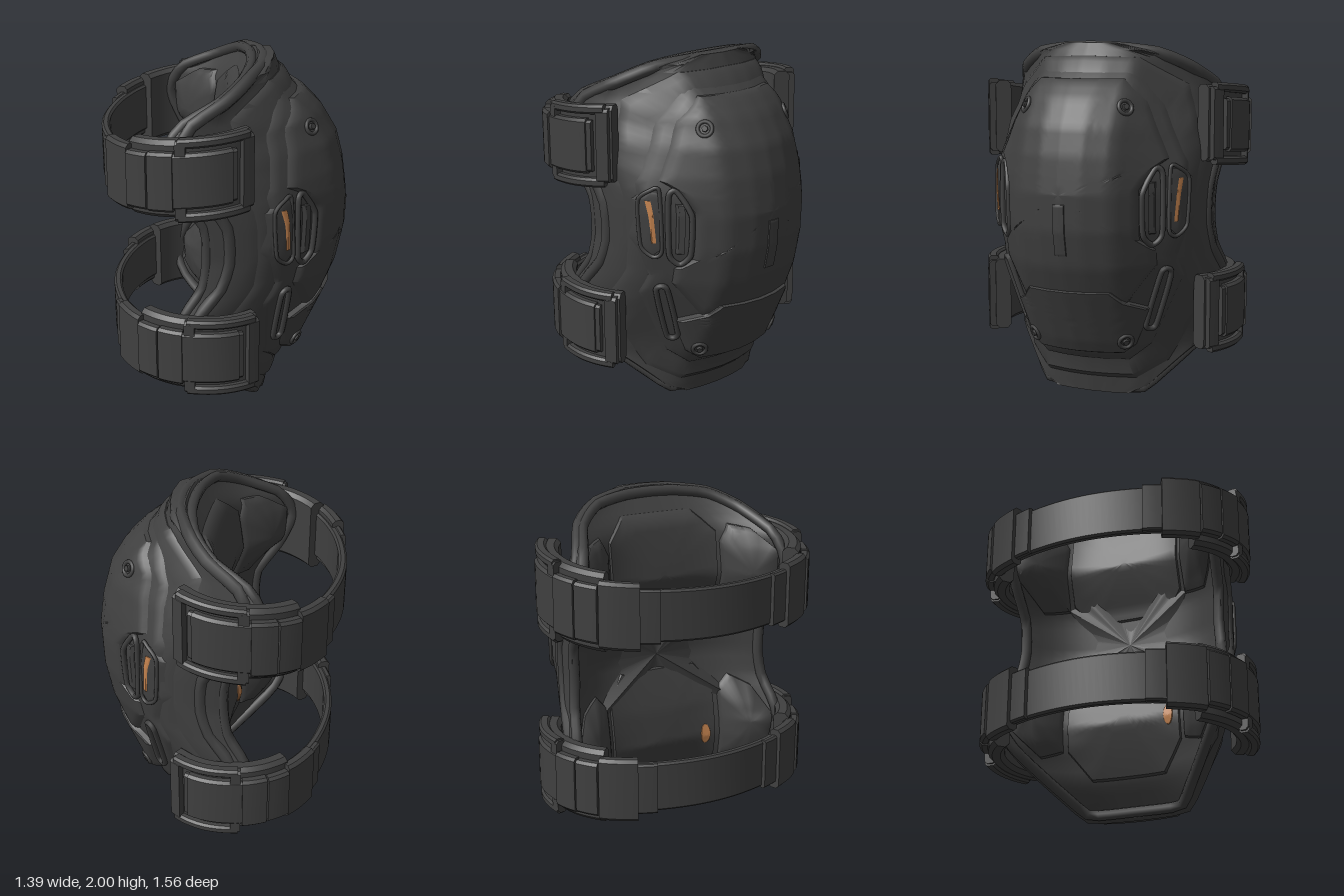
import * as THREE from 'three';
import { toCreasedNormals } from 'three/addons/utils/BufferGeometryUtils.js';

// Piecewise-linear lookup in [[key, value], ...]
const look = (table, k) => {
  for (let i = 1; i < table.length; i++) {
    const [a, va] = table[i - 1], [b, vb] = table[i];
    if (k <= b) return va + (vb - va) * Math.max(0, (k - a) / (b - a));
  }
  return table[table.length - 1][1];
};

// Profiles by height: front, half width, rear edge of the sides, inner middle
const FRONT = [[0, .24], [.1, .3], [.2, .36], [.36, .45], [.65, .58], [.8, .64], [1, .68], [1.2, .687], [1.4, .66], [1.55, .62], [1.7, .53], [1.8, .43], [1.9, .34], [2, .26]];
const WIDTH = [[0, .2], [.05, .32], [.2, .47], [.3, .58], [.5, .68], [.65, .68], [.8, .64], [1, .62], [1.3, .63], [1.45, .65], [1.65, .65], [1.8, .59], [1.87, .5], [1.92, .41], [1.96, .28], [2, .1]];
const REAR = [[0, .17], [.1, .03], [.28, -.2], [.4, -.31], [.6, -.33], [.72, -.25], [.85, -.17], [1, -.15], [1.2, -.16], [1.32, -.21], [1.45, -.34], [1.65, -.36], [1.74, -.29], [1.8, -.15], [1.87, -.02], [1.95, .1], [2, .18]];
const INNER = [[0, .18], [.2, .05], [.5, -.03], [.7, 0], [1, .08], [1.25, .06], [1.5, -.02], [1.8, .03], [2, .18]];
const DROP = [[0, 0], [.12, .013], [.25, .055], [.29, .08], [.45, .25], [.55, .35], [.6, .45], [.66, .6], [.75, .8]];
const DROP_SCALE = [[0, .6], [.36, 1.05], [.9, 1], [1.3, 1], [1.65, 1.3], [2, 1]];
const SOFT = [[0, 0], [.25, -.1], [1.75, -.1], [2, 0]];

const outer = (y, z) => look(FRONT, y) - look(DROP, Math.abs(z)) * look(DROP_SCALE, y);
const soft = (y, z) => Math.max(outer(y, z) + look(SOFT, y), look(REAR, y) + .06);
const inner = (y, z) => {
  const m = look(INNER, y);
  return m + (look(REAR, y) - m) * Math.min(1, Math.abs(z) / look(WIDTH, y)) ** 3;
};

// Closed solid through rings of equal length, turned to face outward
function loft(rings, crease = .6) {
  const n = rings[0].length, pos = rings.flat(2), idx = [];
  const centre = (ring) => [0, 1, 2].map((k) => ring.reduce((s, p) => s + p[k], 0) / n);
  for (let i = 0; i < rings.length - 1; i++) for (let j = 0; j < n; j++) {
    const a = i * n + j, b = i * n + (j + 1) % n;
    idx.push(a, b, b + n, a, b + n, a + n);
  }
  const c = rings.length * n, last = c - n;
  pos.push(...centre(rings[0]), ...centre(rings[rings.length - 1]));
  for (let j = 0; j < n; j++) {
    const k = (j + 1) % n;
    idx.push(c, k, j, c + 1, last + j, last + k);
  }
  const v = (i) => new THREE.Vector3(...pos.slice(3 * i, 3 * i + 3));
  let volume = 0;
  for (let i = 0; i < idx.length; i += 3) volume += v(idx[i]).dot(v(idx[i + 1]).cross(v(idx[i + 2])));
  if (volume < 0) idx.reverse();
  const g = new THREE.BufferGeometry();
  g.setAttribute('position', new THREE.Float32BufferAttribute(pos, 3));
  g.setIndex(idx);
  return toCreasedNormals(g, crease);
}

const mirrored = (half) => [...half, ...half.slice(1, -1).reverse().map(([z, y]) => [-z, y])];
const rect = (z, y, w, h) => [[z - w, y - h], [z + w, y - h], [z + w, y + h], [z - w, y + h]];

// Plate with a (z, y) outline, draped over a surface; depth sets its skirt
function plate(outline, surface, lift, depth, bevel = .012, dome = 0, rows = 12) {
  const pts = [];
  outline.forEach(([z, y], i) => {
    const [z2, y2] = outline[(i + 1) % outline.length];
    const n = Math.max(1, Math.ceil(Math.hypot(z2 - z, y2 - y) / .04));
    for (let k = 0; k < n; k++) pts.push([z + (z2 - z) * k / n, y + (y2 - y) * k / n]);
  });
  const zs = outline.map((p) => p[0]), ys = outline.map((p) => p[1]);
  const cz = (Math.min(...zs) + Math.max(...zs)) / 2, cy = (Math.min(...ys) + Math.max(...ys)) / 2;
  const ring = (r, down) => pts.map(([pz, py]) => {
    const z = cz + (pz - cz) * r, y = cy + (py - cy) * r;
    return [surface(y, z) + lift + dome * (1 - r * r) - Math.sign(depth) * down, y, z];
  });
  const rings = [];
  for (let i = 1; i <= rows; i++) rings.push(ring(i / rows * .97, 0));
  rings.push(ring(1, bevel), ring(1, Math.abs(depth)));
  return loft(rings, .6);
}

// Tube laid over a surface along (z, y) points
function cord(points, surface, lift, radius) {
  const path = points.map(([z, y]) => new THREE.Vector3(surface(y, z) + lift, y, z));
  return new THREE.TubeGeometry(new THREE.CatmullRomCurve3(path, true, 'catmullrom', .3), 90, radius, 8, true);
}

// Strap path around the back of the leg
const HALF = [[.12, .625], [.03, .68], [-.1, .715], [-.3, .69], [-.47, .58], [-.58, .4], [-.64, .2], [-.66, 0]];
const strapPath = new THREE.CatmullRomCurve3(
  [...HALF, ...HALF.slice(0, -1).reverse().map(([x, z]) => [x, -z])].map(([x, z]) => new THREE.Vector3(x, 0, z)));

// Rounded band along part of that path
function band(u0, u1, offset, height, thick, yAt) {
  const steps = Math.max(3, Math.ceil(Math.abs(u1 - u0) * 70)), rings = [];
  const h = height / 2, t = thick / 2, c = Math.min(h, t) * .5;
  const section = [[t, h - c], [t - c, h], [c - t, h], [-t, h - c], [-t, c - h], [c - t, -h], [t - c, -h], [t, c - h]];
  for (let i = 0; i <= steps; i++) {
    const u = u0 + (u1 - u0) * i / steps;
    const p = strapPath.getPointAt(u), d = strapPath.getTangentAt(u);
    rings.push(section.map(([o, y]) => [p.x + d.z * (o + offset), yAt(p.x) + y, p.z - d.x * (o + offset)]));
  }
  return loft(rings);
}

export function createModel() {
  const model = new THREE.Group();
  const charcoal = new THREE.MeshStandardMaterial({ color: 0x404040 });
  charcoal.name = 'charcoal';
  const orange = new THREE.MeshStandardMaterial({ color: 0xc4834f });
  orange.name = 'orange';
  const add = (name, geometry, material = charcoal) => {
    const mesh = new THREE.Mesh(geometry, material);
    mesh.name = name;
    model.add(mesh);
    return mesh;
  };

  // Soft body wrapping the front and sides
  const rings = [];
  for (let i = 0; i <= 48; i++) {
    const y = .01 + 1.98 * i / 48, w = look(WIDTH, y), xb = look(REAR, y), half = [];
    for (let k = 0; k <= 14; k++) half.push([soft(y, w * .98 * k / 14), w * .98 * k / 14]);
    half.push([(soft(y, w) + xb) / 2, w], [xb + .02, w * .98]);
    for (let k = 10; k >= 0; k--) half.push([inner(y, w * .94 * k / 10), w * .94 * k / 10]);
    const full = [...half, ...half.slice(1, -1).reverse().map(([x, z]) => [x, -z])];
    rings.push(full.map(([x, z]) => [x, y, z]));
  }
  add('softBody', loft(rings, .8));

  // Piping round the rim and over the padding
  const rimY = [.04, .1, .2, .35, .5, .7, .85, 1, 1.2, 1.4, 1.6, 1.75, 1.85, 1.9, 1.935];
  const rimX = (t) => (y, z) => look(REAR, y) * (1 - t) + soft(y, Math.abs(z)) * t;
  const rim = (inset) => mirrored([[0, .037], ...rimY.map((y) => [look(WIDTH, y) - inset, y]), [.16, 1.958], [0, 1.963]]);
  add('rimPiping', cord(rim(.02), rimX(.55), 0, .036));
  add('rearPiping', cord(rim(.03), rimX(.12), 0, .03));

  // Padded collar under the hard parts
  const collar = mirrored([[0, 1.92], [.28, 1.91], [.5, 1.76], [.6, 1.45], [.59, 1.2], [.58, .85], [.62, .6], [.42, .2], [.27, .11], [0, .11]]);
  add('paddedCollar', plate(collar, soft, .03, .1, .025));

  // Frame and hard shell
  const frame = mirrored([[0, 1.87], [.25, 1.87], [.42, 1.66], [.56, 1.35], [.585, 1.05], [.52, .84], [.54, .72], [.36, .32], [.25, .23], [0, .23]]);
  add('frame', plate(frame, outer, -.038, .1));
  const shell = mirrored([[0, 1.8], [.24, 1.8], [.36, 1.68], [.49, 1.38], [.43, 1.33], [.375, 1.22], [.375, .95], [.44, .89], [.44, .8], [.3, .6], [0, .6]]);
  add('shell', plate(shell, outer, 0, .07, .01, 0, 20));
  const toe = mirrored([[0, .665], [.24, .665], [.3, .6], [.39, .55], [.3, .33], [.25, .29], [0, .29]]);
  add('lowerPlate', plate(toe, outer, .02, .08));
  add('centreInset', plate(rect(0, 1.01, .033, .14), outer, .008, .03, .002));

  for (const s of [1, -1]) {
    const side = (list) => list.map(([z, y]) => [z * s, y]);
    // Side vents, each a raised rim round a rib
    const vents = [[[.395, 1.2], [.44, 1.33], [.475, 1.3], [.475, .98], [.43, .92], [.395, .98]],
      [[.5, .75], [.46, .76], [.36, .45], [.4, .44]]];
    vents.forEach((v) => add('sideVentRim', cord(side(v), outer, -.02, .016)));
    add('sideVentRib', plate(side(rect(.432, 1.12, .012, .14)), outer, -.015, .04, .008));

    // Accent strip in its holder
    const holder = [[.505, 1.33], [.54, 1.33], [.58, 1.27], [.575, 1.02], [.535, .96], [.505, 1]];
    add('stripHolder', plate(side(holder), outer, -.025, .05));
    add('holderRim', cord(side(holder), outer, -.02, .011));
    add('accentStrip', plate(side([[.545, 1.275], [.56, 1.275], [.542, 1.04], [.527, 1.04]]), outer, -.017, .009, .001), orange);

    // Screws, set square to the surface
    for (const [z, y, lift] of [[.29, 1.655, 0], [.275, .365, .02]]) {
      const e = .03, zz = z * s;
      const n = new THREE.Vector3(1, -(outer(y + e, zz) - outer(y - e, zz)) / (2 * e),
        -(outer(y, zz + e) - outer(y, zz - e)) / (2 * e)).normalize();
      const at = new THREE.Vector3(outer(y, zz) + lift, y, zz);
      const ring = add('screwRing', new THREE.TorusGeometry(.038, .011, 8, 24));
      ring.quaternion.setFromUnitVectors(new THREE.Vector3(0, 0, 1), n);
      ring.position.copy(at);
      const head = add('screwHead', new THREE.CylinderGeometry(.017, .02, .03, 6));
      head.quaternion.setFromUnitVectors(new THREE.Vector3(0, 1, 0), n);
      head.position.copy(at);
    }

    // Thick inner cushions at the sides
    const upper = [[.36, 1.27], [.35, 1.68], [.4, 1.78], [.5, 1.76], [.6, 1.65], [.6, 1.42], [.5, 1.25]];
    const lower = [[.36, .36], [.36, .78], [.43, .86], [.54, .8], [.62, .65], [.6, .46], [.47, .32]];
    for (const c of [upper, lower]) add('sideCushion', plate(side(c), inner, -.015, -.06, .03, -.07));
  }

  // Wide inner cushions in the middle, with a small tag on the lower one
  const upperMiddle = mirrored([[0, 1.86], [.22, 1.86], [.34, 1.74], [.34, 1.3], [.24, 1.18], [0, 1.18]]);
  const lowerMiddle = mirrored([[0, .94], [.24, .94], [.34, .82], [.34, .36], [.22, .2], [0, .2]]);
  for (const c of [upperMiddle, lowerMiddle]) add('middleCushion', plate(c, inner, -.015, -.06, .025, -.02));
  const oval = Array.from({ length: 16 }, (_, i) => [.268 + .028 * Math.cos(i * Math.PI / 8), .51 + .06 * Math.sin(i * Math.PI / 8)]);
  add('innerTag', plate(oval, inner, -.031, -.009, .001), orange);

  // Two straps with backing, buckle frames, loops and end tabs on both sides
  const straps = [['upper', -.01, (x) => 1.545 + .1 * x], ['lower', .025, (x) => .505 - .01 * x]];
  for (const [label, shift, yAt] of straps) {
    add(label + 'Strap', band(0, 1, 0, .28, .045, yAt)).position.x = shift;
    for (const m of [false, true]) {
      const piece = (name, u0, u1, offset, h, t, dy = 0) =>
        add(label + name, band(m ? 1 - u0 : u0, m ? 1 - u1 : u1, offset, h, t, (x) => yAt(x) + dy)).position.x = shift;
      piece('Backing', 0, .26, -.02, .42, .09);
      piece('Webbing', .04, .33, .03, .28, .05);
      piece('BuckleRail', .015, .15, .03, .05, .06, .2);
      piece('BuckleRail', .015, .15, .03, .05, .06, -.2);
      piece('BucklePost', .005, .03, .03, .4, .06);
      piece('BucklePost', .135, .155, .03, .43, .06);
      piece('StrapFold', .05, .16, .035, .3, .06);
      piece('StrapFold', .158, .205, .045, .32, .06);
      piece('StrapFold', .208, .252, .045, .31, .06);
      piece('StrapLoop', .254, .33, .03, .36, .07);
      piece('EndTab', .33, .37, .025, .29, .04);
    }
  }
  return model;
}
